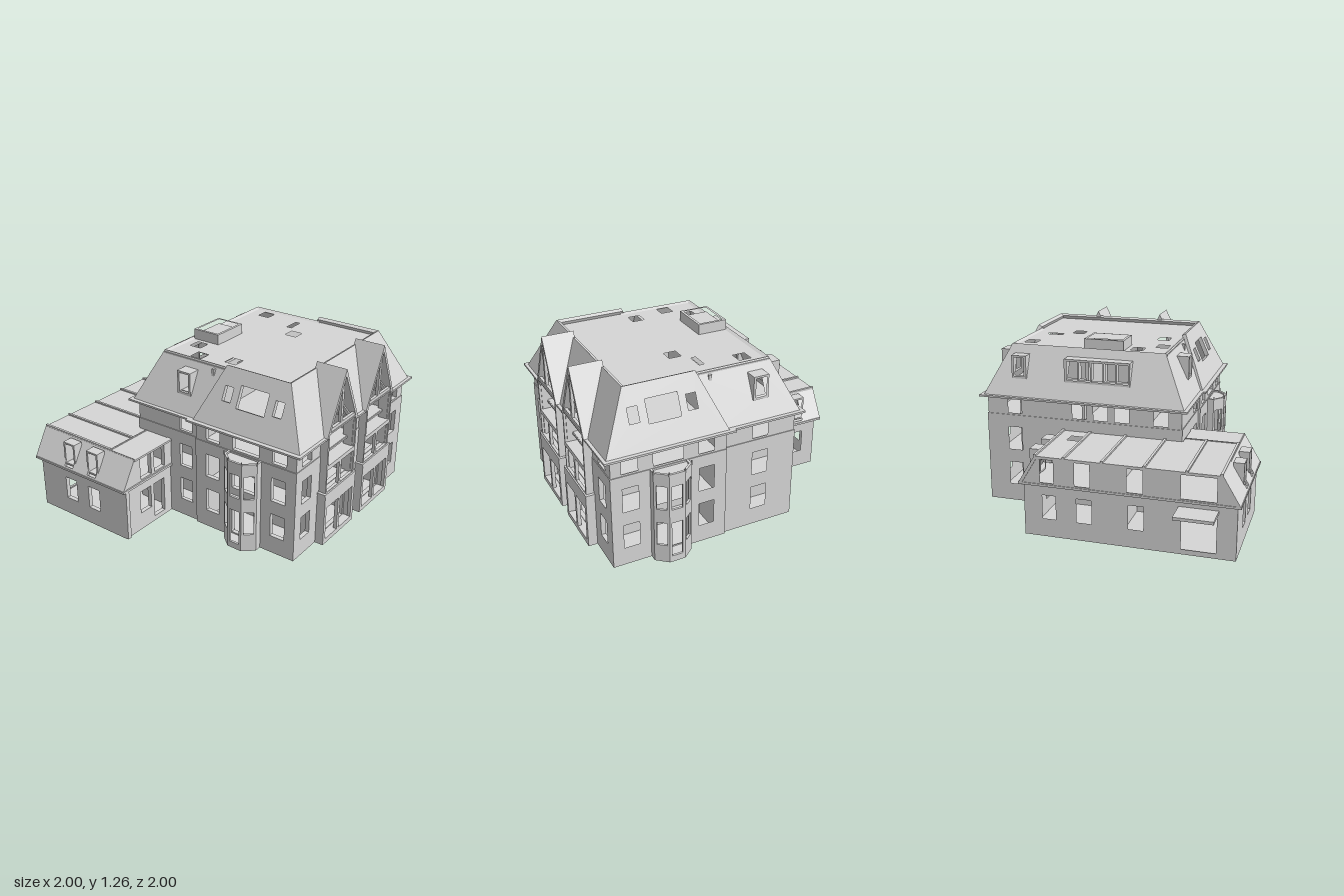
import * as THREE from 'three';

export function createModel() {
  const model = new THREE.Group();
  model.name = 'house';
  const plaster = new THREE.MeshStandardMaterial({ color: 0xd6d6d6 });
  plaster.name = 'plaster grey';

  const add = (name, geo) => {
    const m = new THREE.Mesh(geo, plaster);
    m.name = name;
    model.add(m);
    return m;
  };
  const box = (name, x0, y0, z0, x1, y1, z1) =>
    add(name, new THREE.BoxGeometry(x1 - x0, y1 - y0, z1 - z0)
      .translate((x0 + x1) / 2, (y0 + y1) / 2, (z0 + z1) / 2));
  // [u0, v0, u1, v1] is a rectangle, otherwise a list of points
  const pts = (p, s = 1, t = 1) => (typeof p[0] === 'number'
    ? [[p[0], p[1]], [p[2], p[1]], [p[2], p[3]], [p[0], p[3]]] : p)
    .map(([a, b]) => new THREE.Vector2(a * s, b * t));
  const extrude = (outline, holes, depth, s = 1, t = 1) => {
    const shape = new THREE.Shape(pts(outline, s, t));
    holes.forEach(h => shape.holes.push(new THREE.Path(pts(h, s, t))));
    return new THREE.ExtrudeGeometry(shape, { depth, bevelEnabled: false });
  };
  // Horizontal plate drawn in x, z
  const slab = (name, outline, y0, y1, holes = []) =>
    add(name, extrude(outline, holes, y1 - y0, 1, -1).rotateX(-Math.PI / 2).translate(0, y0, 0));
  // Wall or roof slope drawn in (world x or z, height); c is its position at
  // height y0 and lean is how far it moves inward per unit of height
  const out = { F: [0, 0, 1], B: [0, 0, -1], R: [1, 0, 0], L: [-1, 0, 0] };
  const side = (name, face, c, outline, holes = [], t = 0.03, lean = 0, y0 = 0.86) => {
    const n = new THREE.Vector3(...out[face]);
    const u = new THREE.Vector3(0, 1, 0).cross(n);
    const s = u.x + u.z;
    const v = new THREE.Vector3(0, 1, 0).addScaledVector(n, -lean);
    const w = u.clone().cross(v).normalize();
    const o = n.clone().multiplyScalar(c * (n.x + n.z) + lean * y0);
    const geo = extrude(outline, holes, t, s).translate(0, 0, -t);
    return add(name, geo.applyMatrix4(new THREE.Matrix4().makeBasis(u, v, w).setPosition(o)));
  };
  // Openings on both main floors
  const rows = list => list.flatMap(([a, b]) => [[a, 0.21, b, 0.375], [a, 0.47, b, 0.635]]);
  const gables = [-0.07, 0.425];

  // Base and floors
  const plan = [[-0.53, 0.94], [0.89, 0.94], [0.89, 0.165], [0.875, 0.165], [0.875, -0.34],
    [-0.515, -0.34], [-0.515, 0.165], [-0.53, 0.165]];
  const inner = [-0.5, -0.32, 0.86, 0.925];
  slab('groundFloor', plan, 0.086, 0.11);
  slab('firstFloor', inner, 0.385, 0.41);
  slab('secondFloor', inner, 0.645, 0.66);
  slab('wallLedge', plan, 0.71, 0.722);
  box('foundationSlab', -0.085, 0.005, -0.22, 0.31, 0.03, 0.02);

  // Inner partitions
  box('spineWall', -0.5, 0.1, 0.2, 0.86, 0.85, 0.22);
  for (const x of [-0.27, 0.18, 0.63]) box('crossWall', x - 0.01, 0.1, -0.31, x + 0.01, 0.85, 0.9);
  side('atticSpineWall', 'F', 0.22, [-0.4, 0.86, 0.75, 1.175], [[-0.145, 0.985, -0.055, 1.14]], 0.02);
  box('atticCrossWall', 0.17, 0.86, -0.22, 0.19, 1.175, 0.8);

  // Main lower walls
  const gableHoles = gables.flatMap(x => [[x - 0.16, 0.12, x + 0.16, 0.36],
    [x - 0.16, 0.47, x + 0.16, 0.63], [x - 0.16, 0.66, x + 0.16, 0.71]]);
  side('frontWall', 'F', 0.94, [-0.53, 0.09, 0.89, 0.72],
    [...rows([[-0.455, -0.35], [0.7, 0.805]]), ...gableHoles]);
  for (const [f, front, rear, rearWindows] of [['R', 0.89, 0.875, [[-0.14, -0.03]]],
    ['L', -0.53, -0.515, [[0.02, 0.12]]]]) {
    side('sideFrontWall', f, front, [0.165, 0.09, 0.94, 0.72],
      [...rows([[0.25, 0.355], [0.76, 0.865]]), [0.46, 0.12, 0.655, 0.37], [0.46, 0.46, 0.655, 0.64]]);
    side('sideRearWall', f, rear, [-0.34, 0.09, 0.17, 0.72], rows(rearWindows), 0.025);
  }
  side('backWall', 'B', -0.34, [-0.515, 0.09, 0.875, 0.72], rows([[0.62, 0.72]]));

  // Storey under the eaves
  const strip = (list) => list.map(([a, b]) => [a, 0.735, b, 0.847]);
  side('upperFrontWall', 'F', 0.935, [-0.525, 0.72, 0.885, 0.855],
    [...strip([[-0.455, -0.35], [0.7, 0.805]]), ...gables.map(x => [x - 0.16, 0.725, x + 0.16, 0.85])]);
  side('upperBackWall', 'B', -0.335, [-0.51, 0.72, 0.87, 0.855],
    strip([[-0.42, -0.32], [-0.15, -0.05], [0, 0.1], [0.15, 0.25], [0.62, 0.72]]));
  for (const [f, c] of [['R', 0.885], ['L', -0.525]]) {
    side('upperSideWall', f, c, [0.165, 0.72, 0.935, 0.855],
      strip([[0.25, 0.355], [0.46, 0.66], [0.76, 0.865]]));
    side('upperSideRearWall', f, c - Math.sign(c) * 0.015, [-0.335, 0.72, 0.17, 0.855],
      strip([f === 'R' ? [-0.14, -0.03] : [0.02, 0.12]]), 0.02);
  }

  // Side bay windows: straight returns, then three glazed faces
  for (const s of [1, -1]) {
    const P = [[0.87, 0.43], [0.935, 0.43], [0.998, 0.505], [0.998, 0.61], [0.935, 0.685], [0.87, 0.685]]
      .map(([x, z]) => [0.18 + s * (x - 0.18), z]);
    for (let i = 0; i < 5; i++) {
      const [a, b] = s > 0 ? [P[i + 1], P[i]] : [P[i], P[i + 1]];
      const u = new THREE.Vector3(b[0] - a[0], 0, b[1] - a[1]);
      const len = u.length(), m = 0.016;
      u.normalize();
      const v = new THREE.Vector3(0, 1, 0);
      const low = i === 2 ? 0.13 : 0.21;
      const windows = i % 4 ? [[m, low, len - m, 0.375], [m, 0.47, len - m, 0.635]] : [];
      const geo = extrude([0, 0.09, len, 0.722], windows, 0.015).translate(0, 0, -0.015);
      add('bayWall', geo.applyMatrix4(new THREE.Matrix4()
        .makeBasis(u, v, u.clone().cross(v)).setPosition(a[0], 0, a[1])));
    }
    for (const [y0, y1] of [[0.086, 0.11], [0.385, 0.41], [0.69, 0.71]]) slab('bayFloor', P, y0, y1);
    for (const [x, z] of P.slice(1, 5)) box('bayPost', x - 0.003, 0.71, z - 0.003, x + 0.003, 0.74, z + 0.003);
  }

  // Main roof: eaves (open inside the gables), slopes and deck
  const notches = [...gables].reverse().flatMap(x =>
    [[x + 0.16, 0.985], [x + 0.16, 0.8], [x - 0.16, 0.8], [x - 0.16, 0.985]]);
  slab('eaves', [...notches, [-0.575, 0.985], [-0.575, 0.12], [-0.555, 0.12], [-0.555, -0.39],
    [0.91, -0.39], [0.91, 0.12], [0.93, 0.12], [0.93, 0.985]], 0.85, 0.863);
  side('frontSlope', 'F', 0.965, [[-0.545, 0.86], [0.905, 0.86], [0.74, 1.225], [-0.38, 1.225]],
    gables.map(x => [[x - 0.155, 0.87], [x + 0.155, 0.87], [x, 1.19]]), 0.025, 0.493);
  for (const [f, c, rc] of [['R', 0.905, 0.885], ['L', -0.545, -0.53]]) {
    side('sideFrontSlope', f, c, [[0.965, 0.86], [0.785, 1.225], [0.31, 1.225], [0.155, 0.86]],
      [[0.715, 1.02, 0.78, 1.11], [0.45, 1.0, 0.66, 1.135], [0.335, 1.02, 0.4, 1.11]], 0.03, 0.452);
    const z = f === 'R' ? -0.1 : 0.035;
    side('sideRearSlope', f, rc, [[0.24, 0.86], [0.33, 1.2], [-0.215, 1.2], [-0.365, 0.86]],
      [[z - 0.04, 1.0, z + 0.04, 1.125]], 0.025, 0.485);
    side('sideDormer', f, f === 'R' ? 0.835 : -0.48, [z - 0.053, 0.98, z + 0.053, 1.14],
      [[z - 0.037, 0.997, z + 0.037, 1.127]], 0.1);
  }
  side('backSlope', 'B', -0.365, [[-0.53, 0.86], [0.885, 0.86], [0.72, 1.2], [-0.365, 1.2]],
    [[-0.13, 1.0, 0.29, 1.125], [0.6, 1.0, 0.675, 1.125]], 0.025, 0.44);
  side('backDormer', 'B', -0.32, [-0.15, 0.98, 0.31, 1.14],
    [0, 1, 2, 3, 4].map(i => [-0.138 + i * 0.088, 0.995, -0.062 + i * 0.088, 1.125]), 0.08);
  side('smallBackDormer', 'B', -0.32, [0.585, 0.98, 0.69, 1.14], [[0.602, 0.997, 0.673, 1.127]], 0.08);
  const square = ([x, z]) => [x - 0.042, z - 0.042, x + 0.042, z + 0.042];
  slab('roofDeck', [-0.375, -0.215, 0.73, 0.79], 1.17, 1.19, [
    ...[[-0.145, -0.1], [-0.29, 0.02], [-0.24, 0.26], [0.63, -0.075], [0.41, 0.3]].map(square),
    [0.505, 0.185, 0.62, 0.22]]);
  slab('roofHatch', [-0.07, -0.2, 0.205, 0.005], 1.185, 1.26, [[-0.052, -0.182, 0.187, -0.013]]);
  slab('roofHatchFloor', [-0.06, -0.19, 0.195, -0.005], 1.19, 1.225);

  // Two projecting gable bays
  for (const x of gables) {
    const w = [[x - 0.17, x - 0.02], [x + 0.005, x + 0.165]];
    side('gableGroundWall', 'F', 1.0, [x - 0.195, 0.09, x + 0.195, 0.46],
      w.map(([a, b]) => [a, 0.12, b, 0.36]), 0.025);
    side('gableUpperWall', 'F', 0.99, [x - 0.18, 0.46, x + 0.18, 0.89],
      [...w.map(([a, b]) => [a, 0.47, b, 0.63]), [x - 0.165, 0.66, x + 0.165, 0.88]], 0.02);
    slab('gableBase', [x - 0.195, 0.93, x + 0.195, 1.0], 0.086, 0.115);
    slab('gableLowerCap', [x - 0.2, 0.93, x + 0.2, 1.0], 0.45, 0.465);
    slab('gableBalcony', [x - 0.18, 0.93, x + 0.18, 0.99], 0.635, 0.66);
    for (const s of [-1, 1]) {
      const a = x + s * 0.185, b = x + s * 0.17;
      box('gableLowerCheek', a - 0.01, 0.09, 0.93, a + 0.01, 0.46, 0.98);
      box('gableUpperCheek', b - 0.01, 0.46, 0.93, b + 0.01, 0.88, 0.975);
    }
    // Gable roof, window frame and beam
    add('gableRoof', extrude([[x - 0.195, 0.86], [x, 1.262], [x + 0.195, 0.86], [x + 0.172, 0.86],
      [x, 1.215], [x - 0.172, 0.86]], [], 0.215).translate(0, 0, 0.775));
    side('gableBeam', 'F', 0.985, [x - 0.165, 0.885, x + 0.165, 0.912], [], 0.02);
    side('gableMullion', 'F', 0.985, [x - 0.03, 0.9, x - 0.006, 1.17], [], 0.02);
  }

  // Rear annex: floors, partition and lower walls
  const annex = (x0, x1, zb, zf) => [[x0, zb], [x1, zb], [x1, -0.335], [-0.52, -0.335], [-0.52, zf], [x0, zf]];
  const annexPlan = annex(-0.975, 0.405, -0.835, -0.07);
  slab('annexBase', annexPlan, 0.086, 0.11);
  slab('annexFloor', annexPlan, 0.375, 0.392);
  slab('annexEaves', annex(-1, 0.43, -0.87, -0.05), 0.445, 0.46);
  box('annexPartition', -0.21, 0.1, -0.84, -0.19, 0.635, -0.33);
  const backWindows = [[0.19, 0.28], [-0.05, 0.05], [-0.39, -0.29]];
  const frontWindows = [[-0.825, -0.72], [-0.69, -0.585]];
  const lower = list => list.map(([a, b]) => [a, 0.21, b, 0.372]);
  const upper = list => list.map(([a, b]) => [a, 0.47, b, 0.625]);
  side('annexBackWall', 'B', -0.835, [-0.975, 0.09, 0.405, 0.45], [...lower(backWindows), [-0.85, 0.12, -0.63, 0.37]]);
  side('annexFrontWall', 'F', -0.07, [-0.975, 0.09, -0.515, 0.45],
    [lower(frontWindows)[0], [-0.69, 0.12, -0.585, 0.372]]);
  side('annexUpperBackWall', 'B', -0.865, [[-0.995, 0.455], [0.425, 0.455], [0.31, 0.645], [-0.88, 0.645]],
    upper([...backWindows, [-0.85, -0.63]]));
  side('annexUpperFrontWall', 'F', -0.06, [[-0.995, 0.455], [-0.515, 0.455], [-0.515, 0.645], [-0.88, 0.645]],
    upper(frontWindows));

  // Annex mansard ends with dormers
  for (const [f, x, slopeX, dormerX, front, zs] of [
    ['R', 0.405, 0.428, 0.4, -0.34, [-0.685, -0.485]], ['L', -0.975, -0.998, -0.97, -0.055, [-0.56, -0.35]]]) {
    const w = zs.map(z => [z - 0.037, z + 0.037]);
    side('annexSideWall', f, x, [-0.835, 0.09, front, 0.45], lower(zs.map(z => [z - 0.05, z + 0.05])));
    side('annexMansard', f, slopeX, [-0.87, 0.455, front, 0.65], upper(w), 0.02, 0.6, 0.455);
    for (const z of zs)
      side('annexDormer', f, dormerX, [z - 0.05, 0.475, z + 0.05, 0.64], [[z - 0.036, 0.487, z + 0.036, 0.628]], 0.07);
  }

  // Annex roof with standing ribs, and the door canopy
  slab('annexRoof', annex(-0.885, 0.315, -0.87, -0.05), 0.632, 0.645, [square([0.18, -0.48])]);
  for (const x of [-0.875, -0.665, -0.4, -0.13, 0.12, 0.31])
    box('roofRib', x - 0.008, 0.64, -0.87, x + 0.008, 0.656, x < -0.55 ? -0.27 : -0.34);
  box('roofCrossRib', -0.88, 0.64, -0.275, -0.52, 0.65, -0.265);
  box('doorCanopy', -0.86, 0.385, -1, -0.61, 0.405, -0.83);
  return model;
}
